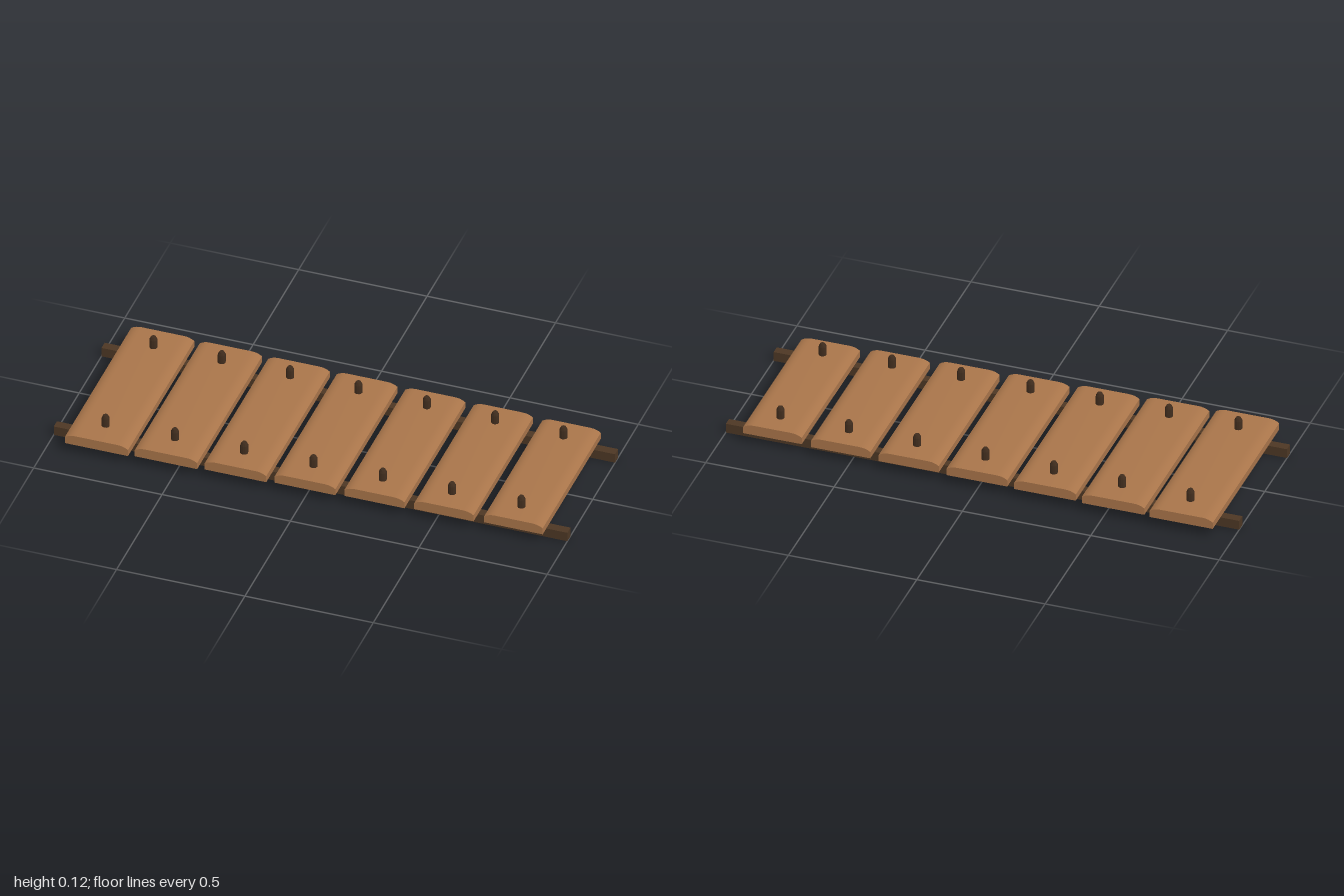
import * as THREE from 'three';
import { toCreasedNormals } from 'three/addons/utils/BufferGeometryUtils.js';

const COUNT = 7;

// Plank: rounded-top cross-section in x/y, extruded along z
function plankGeometry(halfW, halfZ) {
  const y0 = 0.038, ySide = 0.065, yTop = 0.078, r = 0.042;
  const s = new THREE.Shape();
  s.moveTo(-halfW, y0);
  s.lineTo(halfW, y0);
  s.lineTo(halfW, ySide);
  s.quadraticCurveTo(halfW - r * 0.4, yTop, halfW - r, yTop);
  s.lineTo(-halfW + r, yTop);
  s.quadraticCurveTo(-halfW + r * 0.4, yTop, -halfW, ySide);
  s.closePath();
  const g = new THREE.ExtrudeGeometry(s, { depth: halfZ * 2, bevelEnabled: false, curveSegments: 4 });
  g.translate(0, 0, -halfZ);
  return toCreasedNormals(g, 0.6);
}

// Peg: round pin with a chamfered head
function pegGeometry() {
  const r = 0.015;
  const pts = [[0, 0.021], [r, 0.021], [r, 0.113], [0.009, 0.125], [0, 0.125]];
  const g = new THREE.LatheGeometry(pts.map(([x, y]) => new THREE.Vector2(x, y)), 12);
  return toCreasedNormals(g, 0.6);
}

export function createModel() {
  const plankWood = new THREE.MeshStandardMaterial({ name: 'plank wood', color: 0xa9754a });
  const railWood = new THREE.MeshStandardMaterial({ name: 'dark rail wood', color: 0x4d3724 });
  const pegWood = new THREE.MeshStandardMaterial({ name: 'dark peg wood', color: 0x3f2c1d });
  const model = new THREE.Group();
  model.name = 'plankWalkway';

  const add = (name, geometry, material, x, y, z) => {
    const m = new THREE.Mesh(geometry, material);
    m.name = name;
    m.position.set(x, y, z);
    model.add(m);
  };

  // Two long rails under the planks
  const rail = new THREE.BoxGeometry(2, 0.038, 0.035);
  for (const side of [-1, 1]) add('rail', rail, railWood, 0, 0.019, side * 0.262);

  // Planks shrink steadily towards +x, each held by two pegs
  const peg = pegGeometry();
  for (let i = 0; i < COUNT; i++) {
    const t = i / (COUNT - 1);
    const x = (i - 3) * 0.268;
    const halfW = THREE.MathUtils.lerp(0.123, 0.114, t);
    const halfZ = THREE.MathUtils.lerp(0.364, 0.319, t);
    add('plank', plankGeometry(halfW, halfZ), plankWood, x, 0, 0);
    const pegZ = THREE.MathUtils.lerp(0.262, 0.231, t);
    for (const side of [-1, 1]) add('peg', peg, pegWood, x, 0, side * pegZ);
  }
  return model;
}
